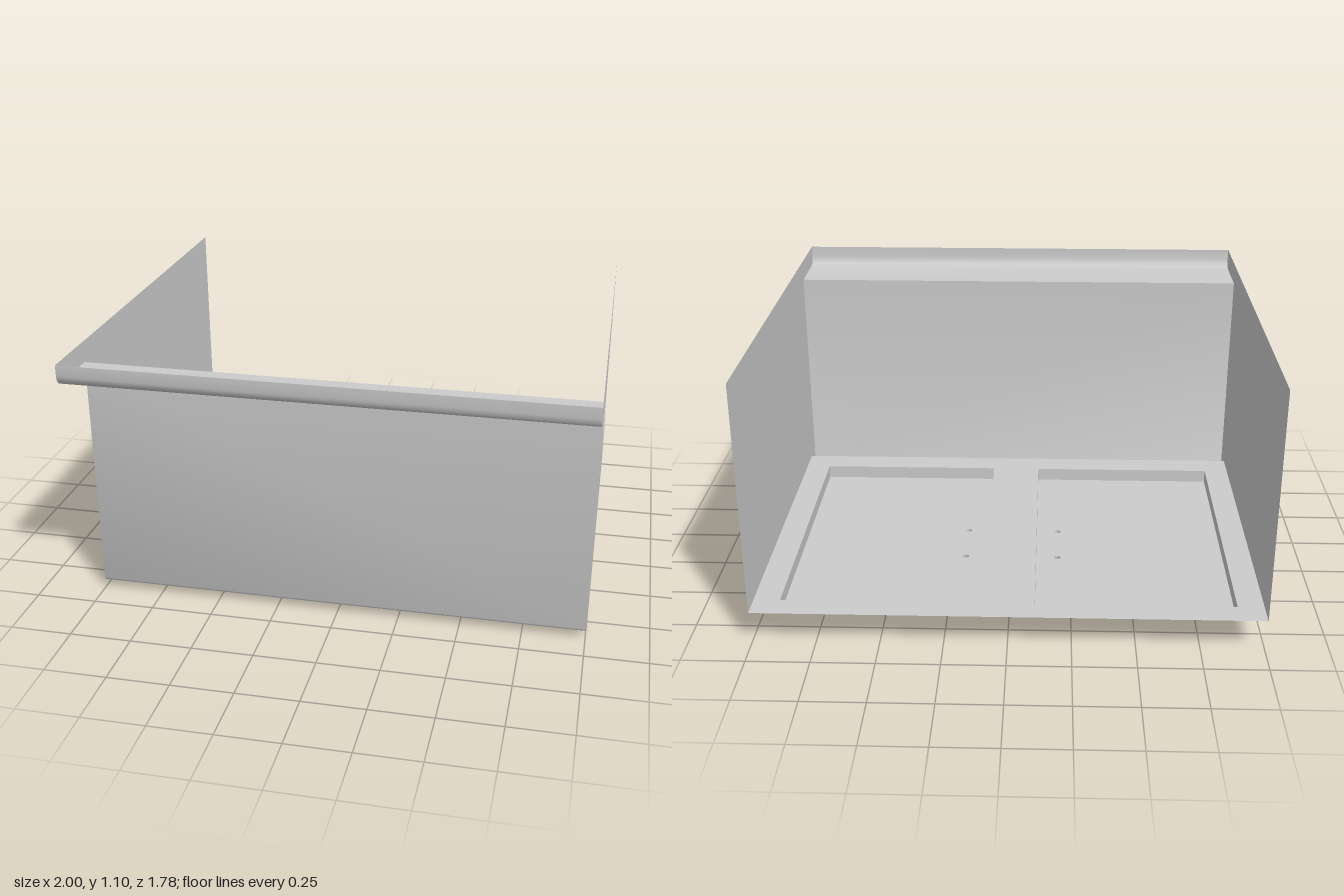
import * as THREE from 'three';
import { toCreasedNormals } from 'three/addons/utils/BufferGeometryUtils.js';

const material = new THREE.MeshStandardMaterial({ color: 0xcccccc, side: THREE.DoubleSide });

const FLOOR = 0.148, TRAY = 0.092, TOP = 1.1, FRONT = 0.63, LIP = 0.545, DEPTH = 0.89;
const ROD = 0.014, HANDLE_Z = [-0.092, -0.322];

function add(parent, name, geometry) {
  const mesh = new THREE.Mesh(geometry, material);
  mesh.name = name;
  parent.add(mesh);
  return mesh;
}

// Sheet joining two matching rows of points, smooth across shallow bends
function sheet(rowA, rowB) {
  const pos = [];
  for (let i = 0; i < rowA.length - 1; i++) {
    const a = rowA[i], b = rowB[i], c = rowB[i + 1], d = rowA[i + 1];
    pos.push(...a, ...b, ...c, ...a, ...c, ...d);
  }
  const g = new THREE.BufferGeometry();
  g.setAttribute('position', new THREE.Float32BufferAttribute(pos, 3));
  return toCreasedNormals(g, 0.8);
}

// Rectangle path in the x-z plane
function rect(path, x0, x1, z0, z1) {
  path.moveTo(x0, z0);
  path.lineTo(x1, z0);
  path.lineTo(x1, z1);
  path.lineTo(x0, z1);
  path.closePath();
  return path;
}

const flat = (shape, y) => new THREE.ShapeGeometry(shape, 8).rotateX(Math.PI / 2).translate(0, y, 0);

// Rod that follows straight runs exactly, with one section at each point
class RodPath extends THREE.Curve {
  constructor(points) {
    super();
    this.points = points;
  }
  index(u) {
    return Math.round(u * (this.points.length - 1));
  }
  getPointAt(u, target = new THREE.Vector3()) {
    return target.copy(this.points[this.index(u)]);
  }
  getTangentAt(u, target = new THREE.Vector3()) {
    const i = this.index(u), p = this.points, n = p.length - 1;
    target.set(0, 0, 0);
    if (i > 0) target.add(p[i].clone().sub(p[i - 1]).normalize());
    if (i < n) target.add(p[i + 1].clone().sub(p[i]).normalize());
    return target.normalize();
  }
}

export function createModel() {
  const group = new THREE.Group();
  group.name = 'openCabinet';

  // Bent front: each point is [z, y], from the top rail down to the floor edge
  const profile = [
    [DEPTH, TOP], [DEPTH, 1.055], [0.885, 1.035], [0.872, 1.021], [0.85, 1.015],
    [FRONT, 1.015], [FRONT, 0.046], [0.626, 0.037], [0.616, 0.033],
    [LIP, 0.033], [LIP, FLOOR],
  ];
  const row = (x, from, to) => profile.slice(from, to).map(([z, y]) => [x, y, z]);
  const bent = (from, to) => sheet(row(-1, from, to), row(1, from, to));
  add(group, 'topRail', bent(0, 6));
  add(group, 'frontPanel', bent(5, 9));
  add(group, 'bottomLip', bent(8, 11));

  // Side walls follow the same outline
  const outline = [...profile, [-DEPTH, FLOOR], [-DEPTH, TOP]].map(([z, y]) => new THREE.Vector2(z, y));
  for (const [name, x] of [['leftWall', 1], ['rightWall', -1]]) {
    const wall = new THREE.ShapeGeometry(new THREE.Shape(outline));
    add(group, name, wall.rotateY(-Math.PI / 2).translate(x, 0, 0));
  }

  // Floor with two openings for the sunken trays
  const z0 = -0.79, z1 = 0.43;
  const floor = rect(new THREE.Shape(), -1, 1, -DEPTH, LIP);
  for (const s of [1, -1]) floor.holes.push(rect(new THREE.Path(), s * 0.5 - 0.395, s * 0.5 + 0.395, z0, z1));
  add(group, 'floor', flat(floor, FLOOR));

  for (const [side, s] of [['left', 1], ['right', -1]]) {
    const x0 = s * 0.5 - 0.395, x1 = s * 0.5 + 0.395, hx = s * 0.195;

    // Tray bottom, pierced where the handle legs enter
    const bottom = rect(new THREE.Shape(), x0, x1, z0, z1);
    for (const z of HANDLE_Z) bottom.holes.push(new THREE.Path().absarc(hx, z, ROD, 0, Math.PI * 2));
    add(group, side + 'Tray', flat(bottom, TRAY));

    const ring = (y) => [[x0, y, z0], [x1, y, z0], [x1, y, z1], [x0, y, z1], [x0, y, z0]];
    add(group, side + 'TrayWalls', sheet(ring(FLOOR), ring(TRAY)));

    // Handle below the tray, with clipped corners
    const [a, b] = HANDLE_Z, c = 0.022;
    const path = [[TRAY, a], [ROD + c, a], [ROD, a - c], [ROD, b + c], [ROD + c, b], [TRAY, b]]
      .map(([y, z]) => new THREE.Vector3(hx, y, z));
    add(group, side + 'Handle', new THREE.TubeGeometry(new RodPath(path), path.length - 1, ROD, 16));
  }

  return group;
}
